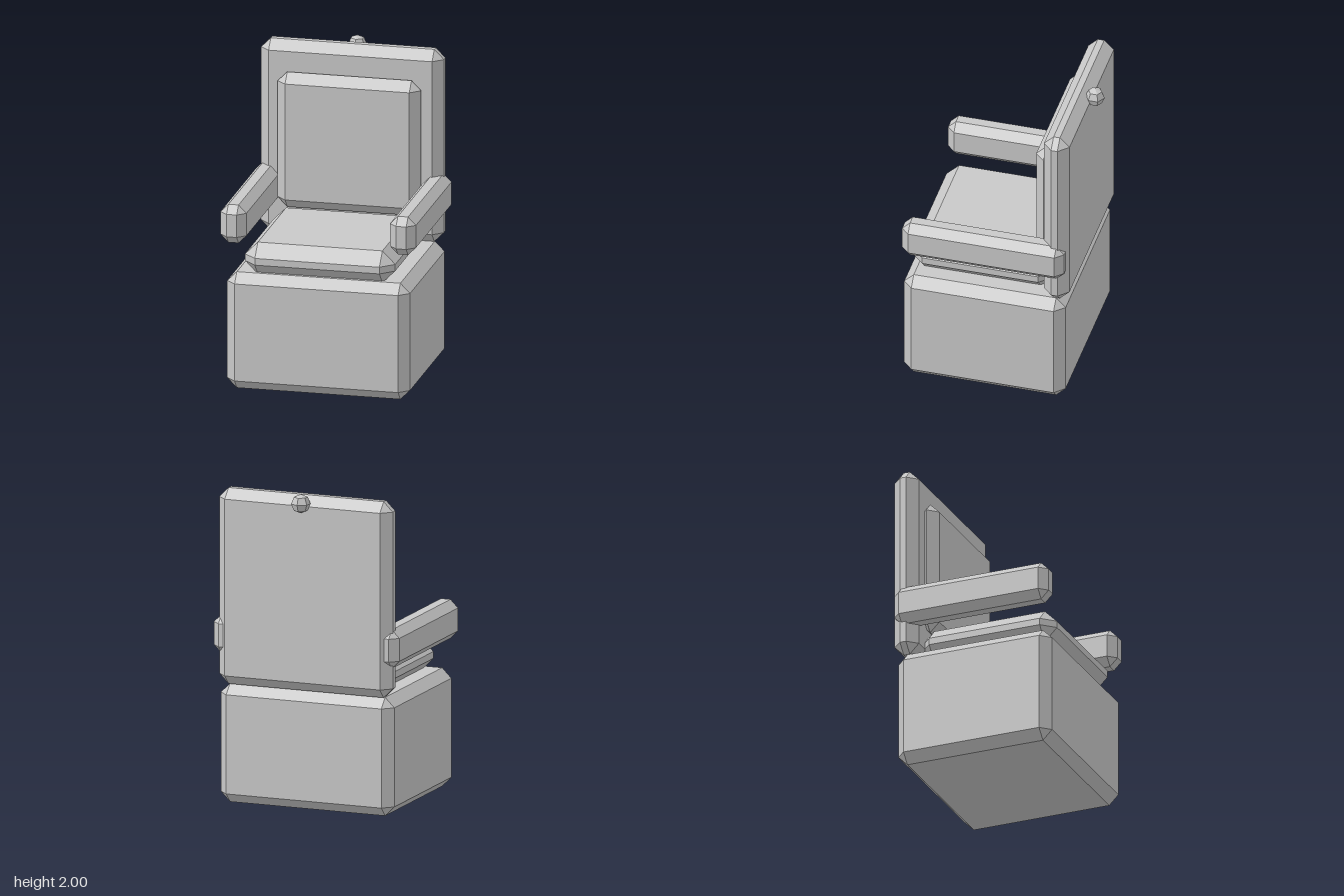
import * as THREE from 'three';
import { ConvexGeometry } from 'three/addons/geometries/ConvexGeometry.js';

// Box between two corners with every edge chamfered by c and triangular corners
function chamferBox(min, max, c) {
  const mid = min.map((v, i) => (v + max[i]) / 2);
  const half = min.map((v, i) => (max[i] - v) / 2);
  const points = [];
  for (const sx of [-1, 1]) for (const sy of [-1, 1]) for (const sz of [-1, 1]) {
    const s = [sx, sy, sz];
    // per corner: one point on each of the three faces that meet there
    for (let face = 0; face < 3; face++) {
      const p = s.map((sign, i) => mid[i] + sign * (half[i] - (i === face ? 0 : c)));
      points.push(new THREE.Vector3(...p));
    }
  }
  return new ConvexGeometry(points);
}

export function createModel() {
  const chair = new THREE.Group();
  chair.name = 'armchair';
  const grey = new THREE.MeshStandardMaterial({ color: 0xc8c8c8, flatShading: true });
  grey.name = 'light grey';

  const add = (name, geometry) => {
    const mesh = new THREE.Mesh(geometry, grey);
    mesh.name = name;
    chair.add(mesh);
    return mesh;
  };

  // Solid base block and the cushion sunk slightly into it
  add('base', chamferBox([-0.577, 0, -0.46], [0.577, 0.745, 0.567], 0.061));
  add('seatCushion', chamferBox([-0.474, 0.727, -0.353], [0.474, 0.932, 0.547], 0.081));

  // Tall backrest with a thin pad whose rim meets in a ridge
  add('backrest', chamferBox([-0.577, 0.747, -0.484], [0.577, 1.98, -0.322], 0.061));
  add('backPad', chamferBox([-0.453, 0.93, -0.362], [0.453, 1.796, -0.239], 0.061));

  // Mirrored armrests
  for (const [name, side] of [['leftArmrest', 1], ['rightArmrest', -1]]) {
    const x = side * 0.535;
    add(name, chamferBox([x - 0.082, 0.933, -0.464], [x + 0.082, 1.177, 0.566], 0.05));
  }

  // Small faceted knob behind the top edge
  const knob = add('knob', new THREE.SphereGeometry(0.06, 6, 4));
  knob.rotation.y = Math.PI / 6;
  knob.position.set(0, 1.94, -0.507);

  return chair;
}
